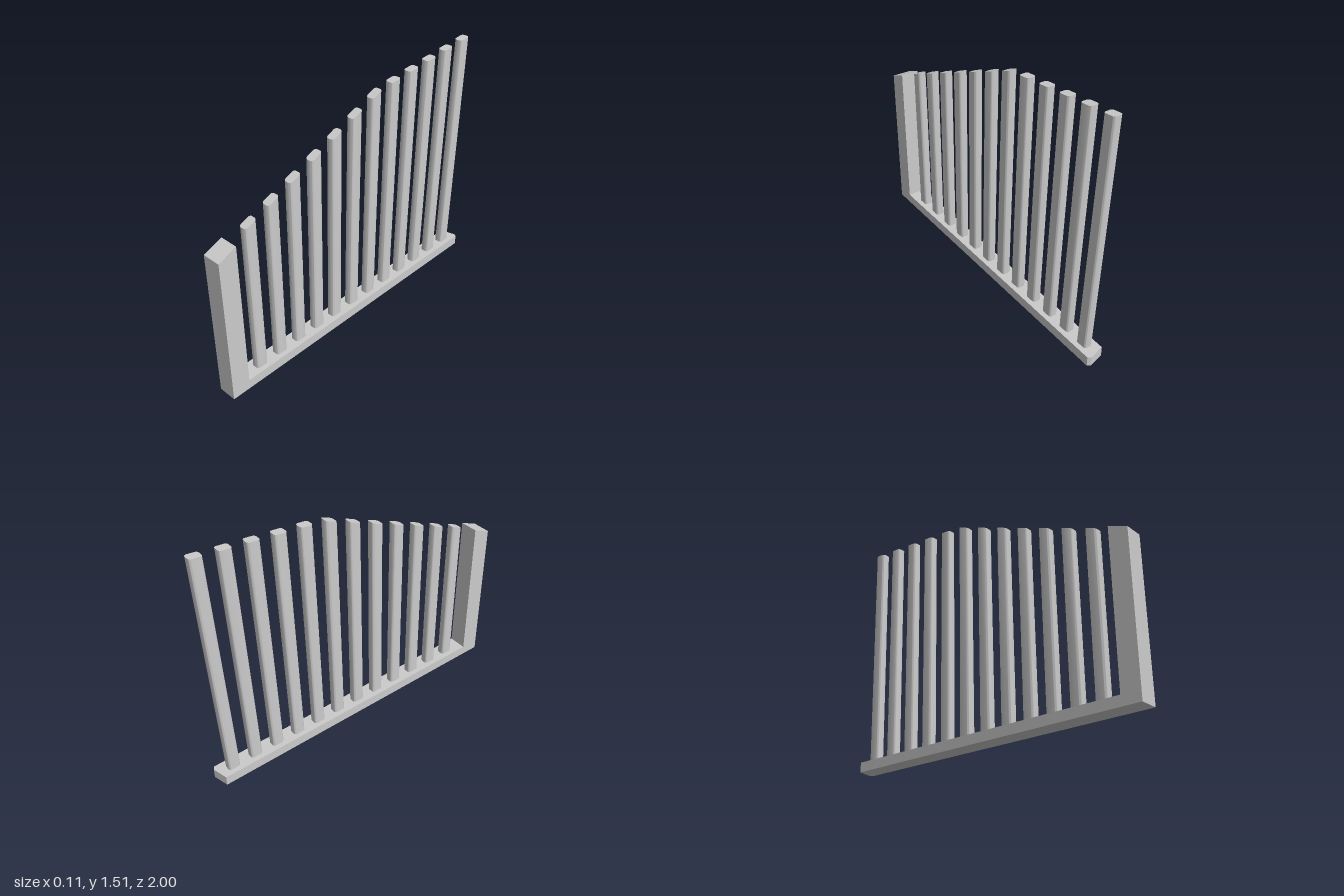
import * as THREE from 'three';
import { toCreasedNormals } from 'three/addons/utils/BufferGeometryUtils.js';

const SLATS = 12;
const BASE_H = 0.06;
const HALF_W = 0.057;

// Height of the top edge along z: steep at the front, gentle at the back
const topLine = (z) => Math.min(0.93 + 0.41 * (1 - z), 1.409 - 0.1 * z);

// Rounded rectangle centred on the origin
function roundedRect(w, d, r) {
  const s = new THREE.Shape();
  const x = w / 2 - r, y = d / 2 - r;
  s.absarc(x, y, r, 0, Math.PI / 2);
  s.absarc(-x, y, r, Math.PI / 2, Math.PI);
  s.absarc(-x, -y, r, Math.PI, Math.PI * 1.5);
  s.absarc(x, -y, r, Math.PI * 1.5, Math.PI * 2);
  s.closePath();
  return s;
}

// Leaning slat from zBottom to zTop, its top cut along the top line
function slatGeometry(zBottom, zTop) {
  const shape = roundedRect(0.053, 0.075, 0.016);
  const geo = new THREE.ExtrudeGeometry(shape, { depth: 1, bevelEnabled: false, curveSegments: 4 });
  geo.rotateX(-Math.PI / 2);
  const p = geo.attributes.position;
  for (let i = 0; i < p.count; i++) {
    const top = p.getY(i) > 0.5;
    const z = p.getZ(i) + (top ? zTop : zBottom);
    p.setZ(i, z);
    p.setY(i, top ? topLine(z) : BASE_H - 0.005);
  }
  return toCreasedNormals(geo, 0.6);
}

export function createModel() {
  const group = new THREE.Group();
  const material = new THREE.MeshStandardMaterial({ color: 0xcccccc });
  const add = (name, geometry) => {
    const mesh = new THREE.Mesh(geometry, material);
    mesh.name = name;
    group.add(mesh);
  };

  // Base rail with a skewed, clipped back end (shape y is -z)
  const rail = new THREE.Shape([
    [-HALF_W, -1], [HALF_W, -1], [HALF_W, 0.988], [0.037, 1], [-HALF_W, 0.975],
  ].map(([x, y]) => new THREE.Vector2(x, y)));
  const railGeo = new THREE.ExtrudeGeometry(rail, { depth: BASE_H, bevelEnabled: false });
  add('baseRail', railGeo.rotateX(-Math.PI / 2));

  // Front post with a sloped top (shape x is -z)
  const post = new THREE.Shape([
    [-1, BASE_H], [-0.885, BASE_H], [-0.885, topLine(0.885)], [-1, topLine(1)],
  ].map(([x, y]) => new THREE.Vector2(x, y)));
  const postGeo = new THREE.ExtrudeGeometry(post, { depth: HALF_W * 2, bevelEnabled: false });
  postGeo.translate(0, 0, -HALF_W).rotateY(Math.PI / 2);
  add('frontPost', postGeo);

  // Slats, leaning further back along the row
  for (let i = 0; i < SLATS; i++) {
    add(`slat${i + 1}`, slatGeometry(0.757 - 0.1502 * i, 0.757 - 0.1556 * i));
  }
  return group;
}
